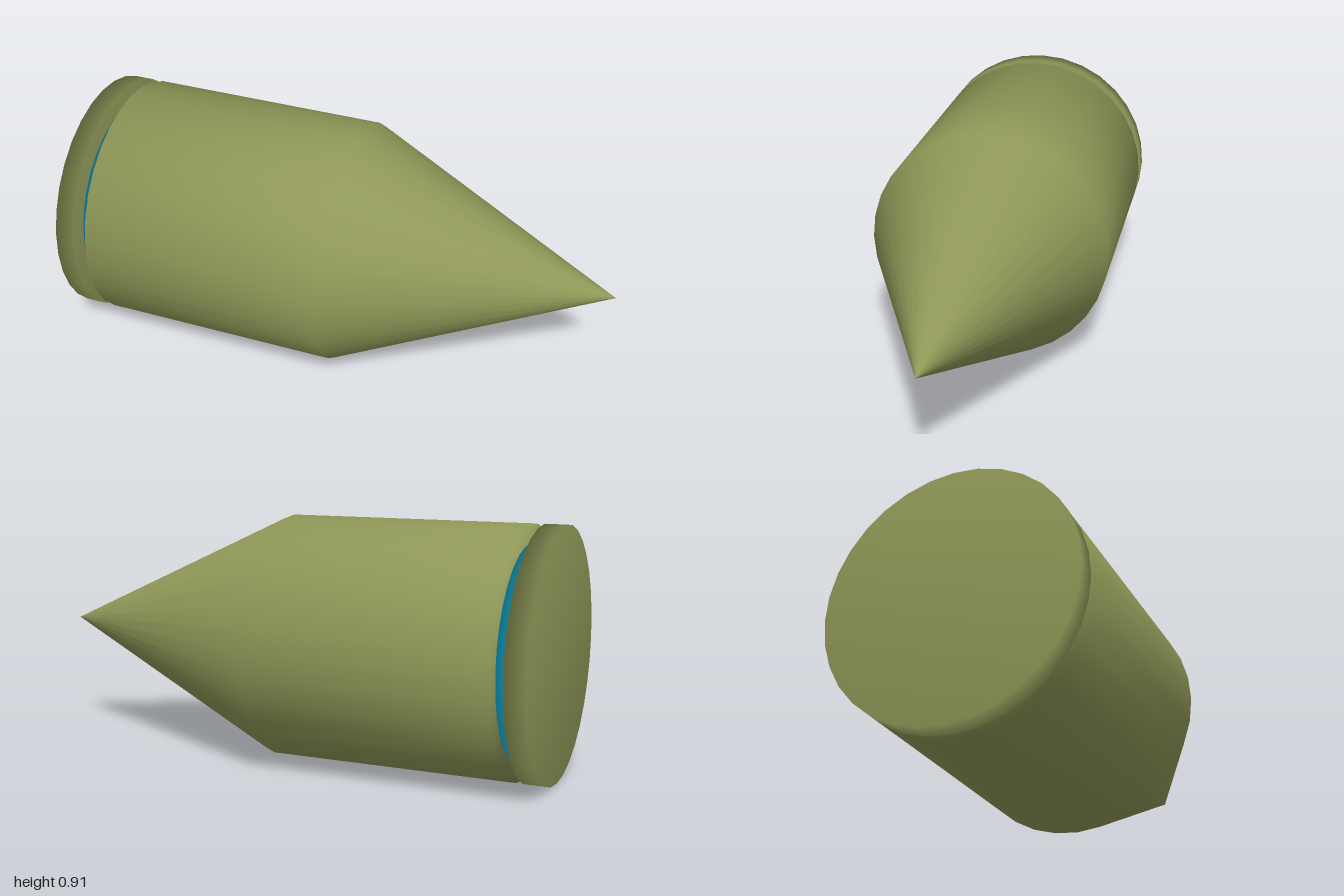
import * as THREE from 'three';

const RADIUS = 0.453;
const SIDES = 32;

// Smooth solid of revolution around the x axis; profile is [radius, x] from back to front
function turned(name, profile, color) {
  const points = profile.map(([r, x]) => new THREE.Vector2(r, x));
  const geometry = new THREE.LatheGeometry(points, SIDES);
  geometry.rotateZ(-Math.PI / 2);
  const mesh = new THREE.Mesh(geometry, new THREE.MeshStandardMaterial({ color }));
  mesh.name = name;
  mesh.position.y = RADIUS;
  return mesh;
}

export function createModel() {
  const group = new THREE.Group();
  group.name = 'bullet';
  const olive = 0x8f9757;

  // Disc at the back end
  group.add(turned('baseRim', [[0, -1], [RADIUS, -1], [RADIUS, -0.925], [0, -0.925]], olive));

  // Recessed blue band in the groove
  group.add(turned('grooveBand', [[0, -0.93], [0.386, -0.93], [0.386, -0.875], [0, -0.875]], 0x12a5cc));

  // Straight casing running into the pointed nose
  group.add(turned('casingAndNose', [[0, -0.88], [RADIUS, -0.88], [RADIUS, 0.02], [0, 1]], olive));

  return group;
}
